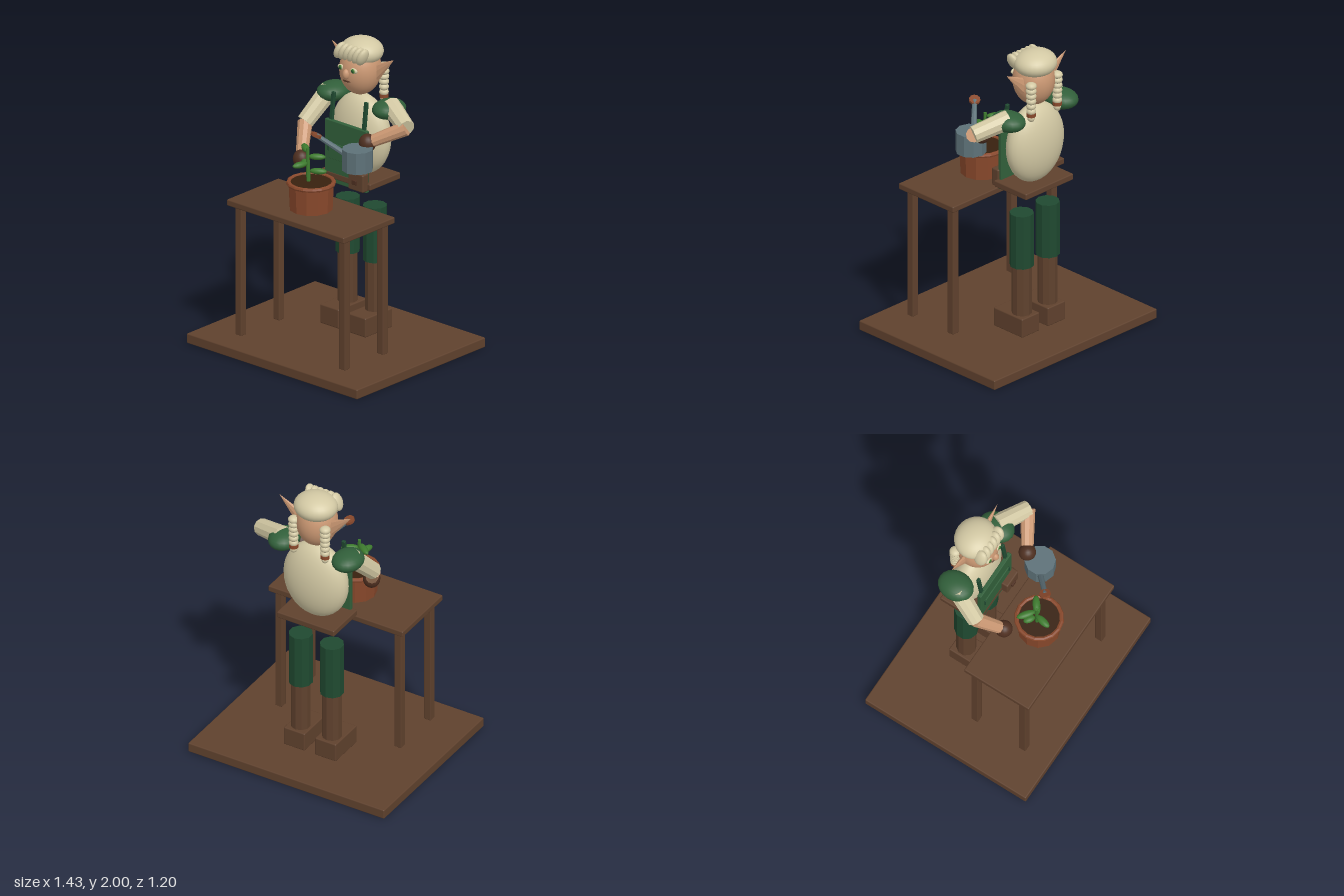
import * as THREE from 'three';
import { RoundedBoxGeometry } from 'three/addons/geometries/RoundedBoxGeometry.js';

const V = (x, y, z) => new THREE.Vector3(x, y, z);

function colour(name, hex) {
  const m = new THREE.MeshStandardMaterial({ color: hex });
  m.name = name;
  return m;
}

// faceted copy of a geometry
function faceted(geo) {
  const g = geo.toNonIndexed();
  g.computeVertexNormals();
  return g;
}

export function createModel() {
  const wood = colour('wood brown', 0x5f412d);
  const glove = colour('glove brown', 0x4e2f20);
  const soilMat = colour('soil', 0x38210f);
  const clay = colour('terracotta', 0x88482b);
  const cream = colour('cream', 0xd3c9a4);
  const skin = colour('skin', 0xcb9873);
  const green = colour('cloth green', 0x315f3a);
  const darkGreen = colour('dark green', 0x1f4930);
  const leafMat = colour('leaf green', 0x3d7a2e);
  const metal = colour('metal grey', 0x5d7178);

  const model = new THREE.Group();
  model.name = 'gardener';

  const group = (name, parent = model) => {
    const g = new THREE.Group();
    g.name = name;
    parent.add(g);
    return g;
  };
  const add = (name, geo, mat, pos, parent = model) => {
    const m = new THREE.Mesh(geo, mat);
    m.name = name;
    m.position.copy(pos);
    parent.add(m);
    return m;
  };
  // box from its two extreme corners
  const box = (name, mat, a, b, parent, r = 0.008) => {
    const s = b.clone().sub(a);
    return add(name, new RoundedBoxGeometry(s.x, s.y, s.z, 2, r), mat, a.clone().add(b).multiplyScalar(0.5), parent);
  };
  const ball = (name, mat, pos, rad, parent, seg = 20) => {
    const m = add(name, new THREE.SphereGeometry(1, seg, Math.round(seg * 0.7)), mat, pos, parent);
    m.scale.copy(rad);
    return m;
  };
  // faceted rod from a to b
  const rod = (name, mat, a, b, ra, rb, parent, sides = 10) => {
    const d = b.clone().sub(a);
    const geo = faceted(new THREE.CylinderGeometry(rb, ra, d.length(), sides));
    const m = add(name, geo, mat, a.clone().add(b).multiplyScalar(0.5), parent);
    m.quaternion.setFromUnitVectors(V(0, 1, 0), d.normalize());
    return m;
  };

  // floor and potting table
  box('floorBoard', wood, V(-0.717, 0, -0.6), V(0.717, 0.066, 0.6));
  const table = group('table');
  box('tableTop', wood, V(-0.492, 0.948, -0.007), V(0.492, 0.99, 0.475), table);
  for (const x of [-0.436, 0.436])
    for (const z of [0.05, 0.405])
      box('tableLeg', wood, V(x - 0.025, 0.077, z - 0.025), V(x + 0.025, 0.95, z + 0.025), table, 0.005);

  // legs and boots
  for (const s of [-1, 1]) {
    const leg = group('leg');
    const x = s * 0.114;
    box('bootFoot', wood, V(x - 0.077, 0.08, -0.317), V(x + 0.077, 0.208, -0.063), leg);
    rod('bootShaft', wood, V(x, 0.2, -0.236), V(x, 0.545, -0.236), 0.064, 0.064, leg);
    rod('trouserLeg', darkGreen, V(x, 0.54, -0.236), V(x, 0.906, -0.236), 0.077, 0.077, leg);
  }

  // torso, belt board, pouch and apron
  ball('torso', cream, V(0, 1.362, -0.238), V(0.228, 0.268, 0.12), model, 28);
  box('beltBoard', wood, V(-0.21, 1.065, -0.37), V(0.21, 1.108, -0.085));
  const apron = group('apron');
  box('apronPanel', green, V(-0.175, 1.04, -0.115), V(0.175, 1.453, -0.087), apron, 0.005);
  box('apronPocket', green, V(-0.14, 1.2, -0.09), V(0.14, 1.305, -0.08), apron, 0.003);
  for (const s of [-1, 1]) {
    box('pocketSeam', darkGreen, V(s * 0.135 - 0.005, 1.25, -0.084), V(s * 0.135 + 0.005, 1.31, -0.077), apron, 0.002);
    const strap = box('apronStrap', darkGreen, V(s * 0.137 - 0.013, 1.43, -0.13), V(s * 0.137 + 0.013, 1.63, -0.11), apron, 0.004);
    strap.rotation.x = -0.12;
  }
  const pouch = group('pouch');
  box('pouchBody', wood, V(0.06, 1.056, -0.1), V(0.188, 1.175, -0.042), pouch, 0.01);
  box('pouchClasp', glove, V(0.1, 1.1, -0.045), V(0.14, 1.13, -0.03), pouch, 0.004);

  // arms: shoulder, elbow and hand points
  const arms = [
    ['rightArm', V(-0.25, 1.59, -0.22), V(-0.3, 1.41, -0.045), V(-0.2, 1.23, 0.1)],
    ['leftArm', V(0.24, 1.6, -0.245), V(0.455, 1.535, -0.15), V(0.248, 1.42, -0.018)],
  ];
  for (const [name, shoulder, elbow, hand] of arms) {
    const arm = group(name);
    ball('shoulderPuff', green, V(Math.sign(shoulder.x) * 0.233, 1.582, -0.237), V(0.098, 0.061, 0.119), arm);
    rod('sleeve', cream, shoulder, elbow, 0.064, 0.056, arm);
    rod('forearm', skin, elbow, hand, 0.048, 0.038, arm);
    ball('glove', glove, hand, V(0.055, 0.06, 0.055), arm);
  }

  // head and face
  const head = group('head');
  ball('face', skin, V(0, 1.793, -0.228), V(0.133, 0.166, 0.135), head, 28);
  ball('nose', skin, V(0, 1.793, -0.095), V(0.023, 0.034, 0.025), head, 14);
  ball('mouth', glove, V(0, 1.745, -0.1), V(0.032, 0.006, 0.008), head, 12);
  for (const s of [-1, 1]) {
    const eye = group('eye', head);
    ball('eyeWhite', cream, V(s * 0.052, 1.825, -0.108), V(0.03, 0.018, 0.012), eye, 14);
    ball('iris', leafMat, V(s * 0.053, 1.825, -0.099), V(0.014, 0.015, 0.007), eye, 12);
    ball('pupil', darkGreen, V(s * 0.053, 1.825, -0.094), V(0.007, 0.008, 0.004), eye, 10);
    // long pointed ear, flattened front to back
    const a = V(s * 0.1, 1.785, 0), d = V(s * 0.16, 0.125, 0);
    const ear = group('ear', head);
    ear.position.z = -0.25;
    ear.scale.z = 0.45;
    rod('earPoint', skin, a, a.clone().add(d), 0.055, 0.001, ear, 8);
  }

  // hair: cap, slanted fringe and braids
  const hair = group('hair');
  ball('hairCap', cream, V(0, 1.914, -0.242), V(0.142, 0.086, 0.132), hair, 28);
  for (let i = 0; i < 6; i++) {
    const x = -0.095 + i * 0.038;
    const lock = ball('fringeLock', cream, V(x, 1.918, -0.142), V(0.028, 0.062, 0.046), hair, 14);
    lock.rotation.z = -0.4;
  }
  for (const s of [-1, 1]) {
    const braid = group('braid', hair);
    for (let i = 0; i < 6; i++)
      ball('braidKnot', cream, V(s * 0.115, 1.815 - i * 0.035, -0.32), V(0.036 - i * 0.001, 0.025, 0.036 - i * 0.001), braid, 14);
    rod('braidTie', clay, V(s * 0.115, 1.605, -0.32), V(s * 0.115, 1.628, -0.32), 0.03, 0.03, braid);
    ball('braidTip', cream, V(s * 0.115, 1.593, -0.32), V(0.024, 0.026, 0.024), braid, 12);
  }

  // watering can
  const can = group('wateringCan');
  rod('canBody', metal, V(0.25, 1.27, 0.077), V(0.25, 1.412, 0.077), 0.098, 0.098, can);
  const tip = V(0.052, 1.498, 0.243);
  rod('canSpout', metal, V(0.2, 1.355, 0.105), tip, 0.02, 0.015, can, 8);
  const rose = rod('canRose', clay, tip.clone().add(V(-0.002, -0.008, 0.003)), tip.clone().add(V(0.002, 0.008, -0.003)), 0.036, 0.036, can);
  rose.name = 'sprinklerHead';

  // pot
  const pot = group('pot');
  const cz = 0.232;
  rod('potBody', clay, V(0, 0.99, cz), V(0, 1.16, cz), 0.137, 0.145, pot, 12);
  const rim = add('potRim', faceted(new THREE.TorusGeometry(0.142, 0.015, 8, 16)), clay, V(0, 1.163, cz), pot);
  rim.rotation.x = Math.PI / 2;
  rod('soil', soilMat, V(0, 1.14, cz), V(0, 1.168, cz), 0.135, 0.135, pot, 16);

  // seedling: leaf = height, distance, heading, half length
  const plant = group('seedling');
  rod('stem', leafMat, V(-0.022, 1.16, cz), V(-0.03, 1.385, cz), 0.014, 0.01, plant, 8);
  const leaves = [
    [1.36, 0.07, 2.5, 0.062],
    [1.33, 0.06, 0.6, 0.055],
    [1.285, 0.058, -1.8, 0.055],
    [1.235, 0.068, 0.55, 0.055],
    [1.27, 0.05, 2.6, 0.04],
  ];
  for (const [y, r, angle, half] of leaves) {
    const p = V(-0.03 + Math.cos(angle) * r, y, cz - Math.sin(angle) * r);
    const leaf = ball('leaf', leafMat, p, V(half, 0.02, 0.024), plant, 14);
    leaf.rotation.y = angle;
  }
  return model;
}
